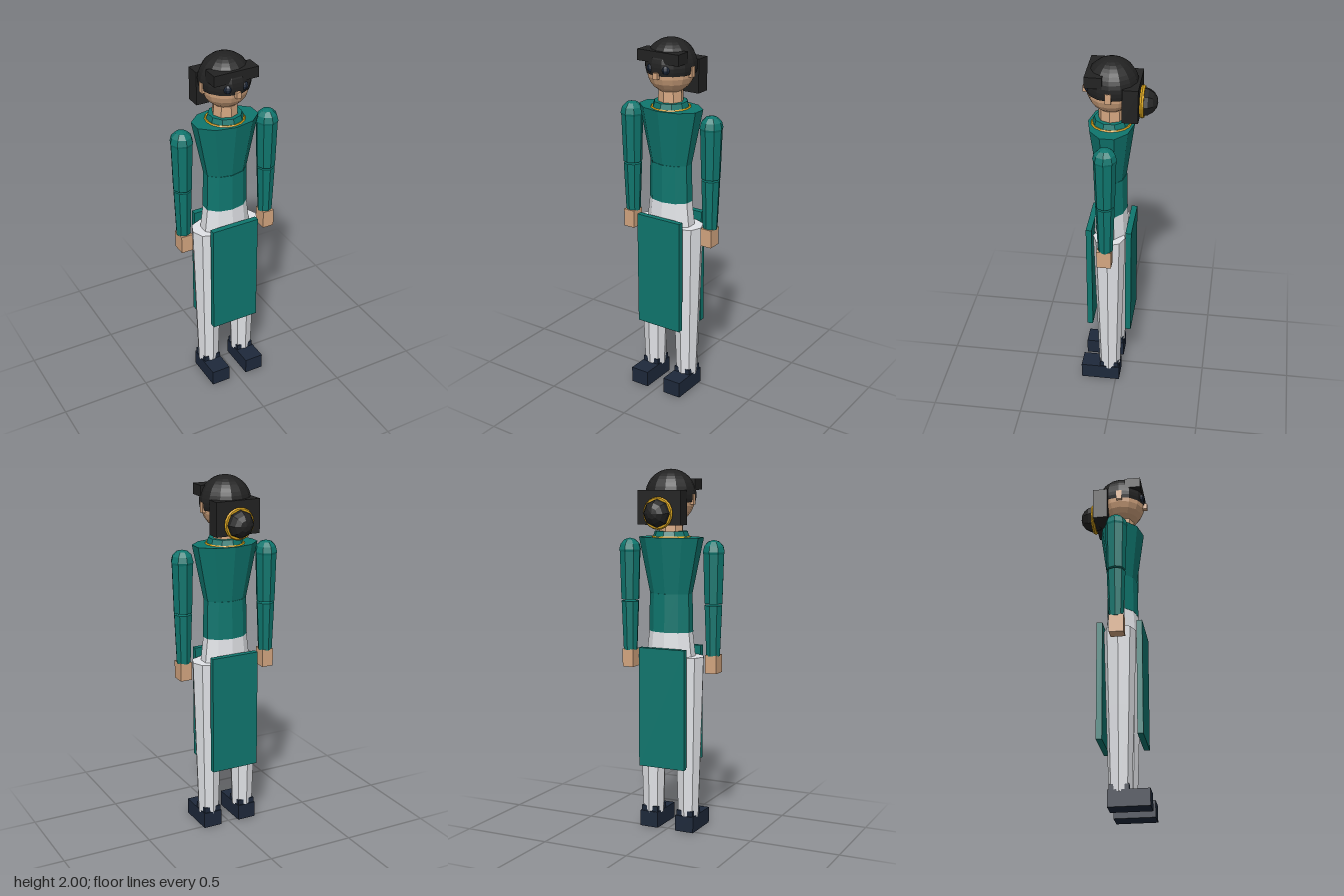
import * as THREE from 'three';

export function createModel() {
  const root = new THREE.Group();
  root.name = 'figure';
  const Z = 0.04; // body axis depth

  const mat = (name, color) => {
    const m = new THREE.MeshStandardMaterial({ color, flatShading: true });
    m.name = name;
    return m;
  };
  const teal = mat('teal cloth', 0x0f766e);
  const black = mat('black hair', 0x222222);
  const white = mat('pale trousers', 0xe2e4e8);
  const skin = mat('skin', 0xd4a680);
  const navy = mat('navy shoes', 0x1e293b);
  const gold = mat('gold trim', 0xd9a41c);

  const add = (name, geo, material, x, y, z) => {
    const m = new THREE.Mesh(geo, material);
    m.name = name;
    m.position.set(x, y, z);
    root.add(m);
    return m;
  };
  // Box from its centre in x and its ranges in y and z
  const box = (name, material, x, w, y0, y1, z0, z1) =>
    add(name, new THREE.BoxGeometry(w, y1 - y0, z1 - z0), material, x, (y0 + y1) / 2, (z0 + z1) / 2);
  // Upright tapered cylinder from y0 (radius r0) to y1 (radius r1), depth scaled by sz
  const taper = (name, material, x, y0, y1, r0, r1, sides, sz = 1) => {
    const m = add(name, new THREE.CylinderGeometry(r1, r0, y1 - y0, sides), material, x, (y0 + y1) / 2, Z);
    m.scale.z = sz;
    return m;
  };

  // Torso and hips
  taper('chest', teal, 0, 1.33, 1.635, 0.123, 0.187, 10, 0.655);
  taper('waist', teal, 0, 1.12, 1.33, 0.128, 0.123, 10, 0.68);
  taper('hips', white, 0, 0.96, 1.12, 0.145, 0.126, 10, 0.68);
  taper('collar', teal, 0, 1.63, 1.668, 0.102, 0.09, 10);
  const trim = add('collarTrim', new THREE.TorusGeometry(0.1, 0.009, 5, 16), gold, 0, 1.633, Z);
  trim.rotation.x = Math.PI / 2;
  taper('neck', skin, 0, 1.64, 1.74, 0.07, 0.065, 8);

  // Hanging cloth panels
  box('frontPanel', teal, 0, 0.274, 0.39, 1.035, 0.133, 0.164);
  box('backPanel', teal, 0, 0.274, 0.37, 1.035, -0.084, -0.052);

  // Head and face
  add('head', new THREE.SphereGeometry(0.127, 14, 12), skin, 0, 1.837, 0.04);
  box('nose', skin, 0, 0.026, 1.808, 1.842, 0.145, 0.185);

  // Hair: cap, fringe, back block and bun with a ring
  const cap = new THREE.SphereGeometry(0.138, 14, 12, 0, Math.PI * 2, 0, Math.PI * 0.59);
  const hair = black.clone();
  hair.name = 'black hair cap';
  hair.side = THREE.DoubleSide;
  add('hairCap', cap, hair, 0, 1.862, 0.036);
  box('fringe', black, 0, 0.254, 1.888, 1.947, 0.07, 0.16);
  box('backHair', black, 0, 0.254, 1.705, 1.888, -0.112, -0.03);
  const bun = add('bun', new THREE.SphereGeometry(0.077, 8, 8), black, 0, 1.767, -0.123);
  bun.rotation.x = Math.PI / 2;
  add('bunRing', new THREE.TorusGeometry(0.075, 0.012, 6, 20), gold, 0, 1.767, -0.122);

  // Paired parts
  for (const [side, s] of [['left', 1], ['right', -1]]) {
    add(side + 'Eye', new THREE.SphereGeometry(0.026, 8, 6), navy, s * 0.045, 1.857, 0.148);
    box(side + 'Ear', skin, s * 0.127, 0.024, 1.81, 1.866, 0.024, 0.054);

    // Arm, with a narrow gap at the elbow
    const ax = s * 0.253;
    add(side + 'Shoulder', new THREE.SphereGeometry(0.063, 8, 6), teal, ax, 1.562, Z);
    taper(side + 'UpperArm', teal, ax, 1.285, 1.56, 0.052, 0.06, 8);
    taper(side + 'Forearm', teal, ax, 1.0, 1.275, 0.04, 0.051, 8);
    box(side + 'Hand', skin, ax, 0.066, 0.905, 1.005, 0.006, 0.084);

    // Leg and shoe
    const lx = s * 0.108;
    taper(side + 'Thigh', white, lx, 0.54, 0.987, 0.075, 0.088, 8);
    taper(side + 'Shin', white, lx, 0.08, 0.54, 0.06, 0.075, 8);
    box(side + 'Ankle', navy, lx, 0.098, 0.06, 0.12, -0.014, 0.092);
    box(side + 'Shoe', navy, s * 0.109, 0.108, 0, 0.09, -0.02, 0.2);
  }
  return root;
}
